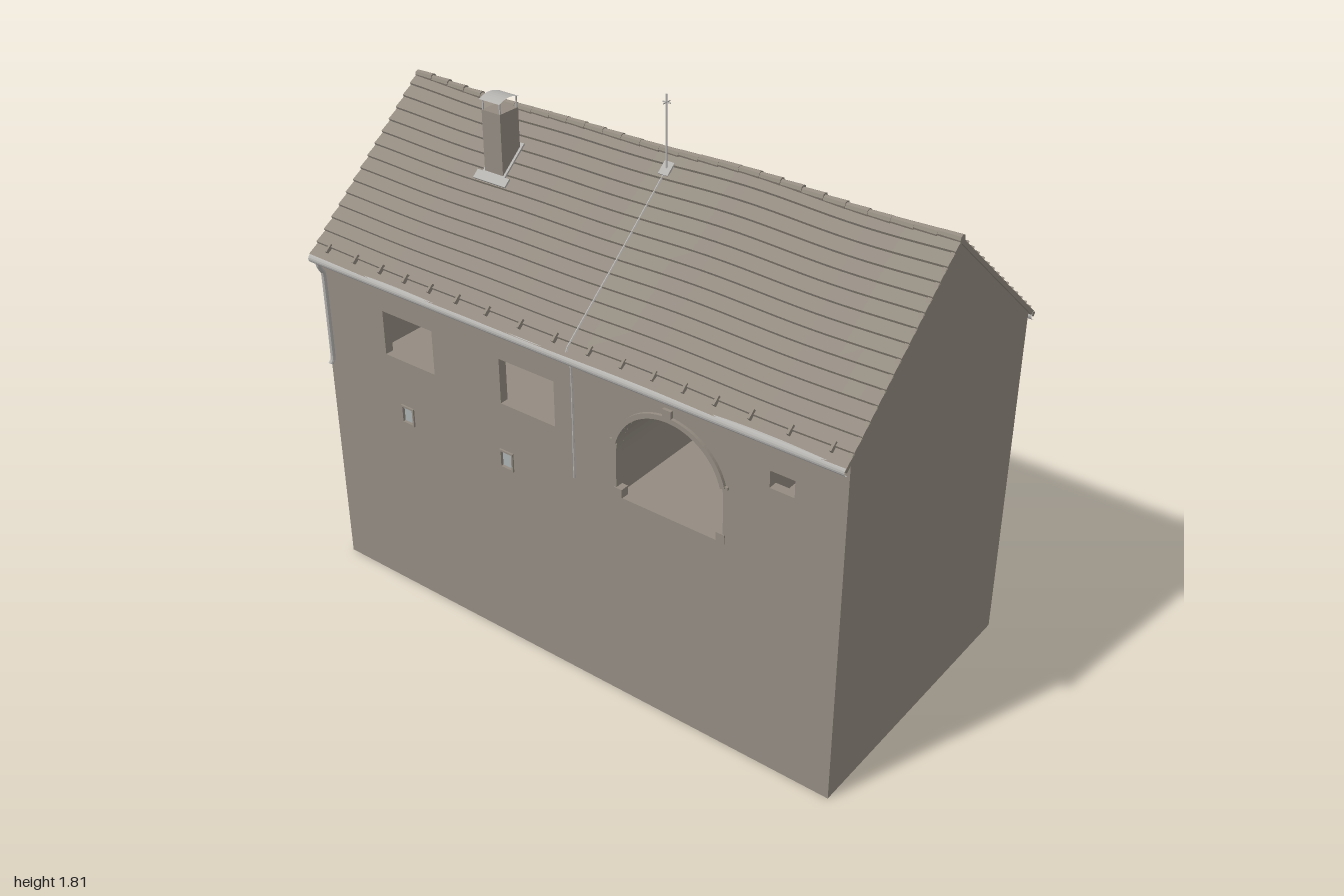
import * as THREE from 'three';

const mat = (name, color, side = THREE.FrontSide) => {
  const m = new THREE.MeshStandardMaterial({ color, side, flatShading: true });
  m.name = name;
  return m;
};

export function createModel() {
  const house = new THREE.Group();
  house.name = 'house';
  const plaster = mat('plaster', 0x948c82, THREE.DoubleSide);
  const tile = mat('roofTile', 0x938b80, THREE.DoubleSide);
  const metal = mat('paleMetal', 0xb4b3b0, THREE.DoubleSide);
  const glass = mat('glass', 0xaab2b2, THREE.DoubleSide);

  const add = (name, geo, material, x = 0, y = 0, z = 0, parent = house) => {
    const m = new THREE.Mesh(geo, material);
    m.name = name;
    m.position.set(x, y, z);
    parent.add(m);
    return m;
  };
  const box = (name, w, h, d, material, x, y, z, parent) =>
    add(name, new THREE.BoxGeometry(w, h, d), material, x, y, z, parent);
  const tube = (name, pts, r, material, sides = 6) =>
    add(name, new THREE.TubeGeometry(new THREE.CatmullRomCurve3(
      pts.map(p => new THREE.Vector3(...p)), false, 'catmullrom', 0.2), pts.length * 5, r, sides), material);
  const rect = (P, x0, x1, y0, y1) => {
    const p = new P();
    p.moveTo(x0, y0); p.lineTo(x1, y0); p.lineTo(x1, y1); p.lineTo(x0, y1); p.closePath();
    return p;
  };

  const W = 0.988, D = 0.495, SEAM = 0.74, WALL = 0.03;
  const RIDGE = 1.613, EAVE = 1.165, OVER = 0.527;
  const pitch = (RIDGE - EAVE) / OVER;
  const angle = Math.atan(pitch);
  const roofY = z => RIDGE - Math.abs(z) * pitch;
  const sag = x => 0.005 * Math.sin(x * 5 + 0.4) - 0.004 * Math.cos(x * 9);
  const AX = 0.405, AY = 0.88, AR = 0.19; // archway centre and radius

  // Open-bottomed base with small cellar windows on both long sides
  const cellar = [[-0.665, -0.617], [-0.24, -0.193]];
  for (const s of [1, -1]) {
    const shape = rect(THREE.Shape, -W, W, 0, SEAM);
    cellar.forEach(([a, b]) => shape.holes.push(rect(THREE.Path, a, b, 0.66, 0.72)));
    add('baseLongWall', new THREE.ShapeGeometry(shape), plaster, 0, 0, s * D);
    for (const [a, b] of cellar) {
      const c = (a + b) / 2;
      box('cellarGlass', b - a, 0.06, 0.004, glass, c, 0.69, s * (D - 0.006));
      for (const k of [-1, 1]) {
        box('cellarFrame', 0.006, 0.066, 0.012, plaster, c + k * 0.024, 0.69, s * D);
        box('cellarFrame', 0.048, 0.006, 0.012, plaster, c, 0.69 + k * 0.03, s * D);
      }
    }
    const end = add('baseEndWall', new THREE.PlaneGeometry(D * 2, SEAM), plaster, s * W, SEAM / 2, 0);
    end.rotation.y = s * Math.PI / 2;
  }
  const floor = add('floor', new THREE.PlaneGeometry(W * 2, D * 2), plaster, 0, SEAM, 0);
  floor.rotation.x = -Math.PI / 2;

  // Upper storey long walls, pierced by windows and the archway
  const openings = {
    1: [[-0.72, -0.507, 0.89, 1.045], [-0.23, -0.015, 0.89, 1.045], [0.745, 0.825, 0.99, 1.045]],
    '-1': [[-0.84, -0.66, 0.89, 1.04], [-0.48, -0.3, 0.89, 1.04], [-0.1, 0.05, 0.89, 1.04], [0.745, 0.89, 0.76, 1.04]],
  };
  for (const s of [1, -1]) {
    // The archway is notched into the bottom edge
    const shape = new THREE.Shape();
    shape.moveTo(-W, SEAM);
    shape.lineTo(AX - AR, SEAM);
    shape.lineTo(AX - AR, AY);
    shape.absarc(AX, AY, AR, Math.PI, 0, true);
    shape.lineTo(AX + AR, SEAM);
    shape.lineTo(W, SEAM);
    shape.lineTo(W, 1.18);
    shape.lineTo(-W, 1.18);
    shape.closePath();
    openings[s].forEach(o => shape.holes.push(rect(THREE.Path, ...o)));
    add(s > 0 ? 'frontWall' : 'backWall',
      new THREE.ExtrudeGeometry(shape, { depth: WALL, bevelEnabled: false, curveSegments: 20 }),
      plaster, 0, 0, s > 0 ? D - WALL : -D);

    // Arch moulding, keystone and guard stones
    const ring = new THREE.Shape();
    ring.absarc(AX, AY, AR + 0.016, 0.25, Math.PI - 0.25, false);
    ring.absarc(AX, AY, AR, Math.PI - 0.25, 0.25, true);
    add('archMoulding', new THREE.ExtrudeGeometry(ring, { depth: 0.012, bevelEnabled: false, curveSegments: 20 }),
      plaster, 0, 0, s > 0 ? D - 0.002 : -D - 0.01);
    box('keystone', 0.03, 0.035, 0.02, plaster, AX, 1.092, s * D);
    for (const k of [-1, 1]) {
      box('guardStone', 0.03, 0.03, 0.03, plaster, AX + k * (AR - 0.007), SEAM + 0.015, s * (D - 0.012));
      box('archImpost', 0.016, 0.01, 0.014, plaster, AX + k * 0.2, 0.932, s * D);
    }
  }

  // Vaulted passage linking both archways
  const vault = new THREE.CylinderGeometry(AR, AR, 2 * (D - WALL), 24, 1, true, Math.PI / 2, Math.PI);
  vault.rotateX(Math.PI / 2);
  add('passageVault', vault, plaster, AX, AY, 0);
  for (const k of [-1, 1]) {
    const side = add('passageWall', new THREE.PlaneGeometry(2 * (D - WALL), AY - SEAM), plaster, AX + k * AR, (AY + SEAM) / 2, 0);
    side.rotation.y = Math.PI / 2;
  }

  // Gable walls
  const gable = new THREE.Shape();
  [[-D, SEAM], [D, SEAM], [D, roofY(D) - 0.008], [0, RIDGE - 0.01], [-D, roofY(D) - 0.008]]
    .forEach(([z, y], i) => (i ? gable.lineTo(z, y) : gable.moveTo(z, y)));
  for (const s of [1, -1]) {
    const g = new THREE.ExtrudeGeometry(gable, { depth: WALL, bevelEnabled: false });
    g.rotateY(Math.PI / 2);
    add('gableWall', g, plaster, s > 0 ? W - WALL : -W, 0, 0);
  }

  // Roof slopes: stepped tile courses with a gentle sag
  const COURSES = 15, COLS = 36, RW = 0.995;
  for (const s of [1, -1]) {
    const g = new THREE.PlaneGeometry(2 * RW, 1, COLS, 2 * COURSES - 1);
    const p = g.attributes.position;
    for (let i = 0; i < p.count; i++) {
      const row = Math.floor(i / (COLS + 1));
      const t = Math.ceil(row / 2) / COURSES;
      const lip = row % 2 ? 0.008 : 0;
      const x = p.getX(i) * s;
      p.setXYZ(i, x, roofY(t * OVER) + lip + sag(x) * (1 - 0.6 * t), s * (t * OVER + lip * 0.5));
    }
    g.computeVertexNormals();
    add(s > 0 ? 'frontRoof' : 'backRoof', g, tile);

    // Verge boards along the gable edges
    for (const e of [-1, 1]) {
      const len = OVER / Math.cos(angle);
      const v = box('vergeBoard', 0.012, 0.014, len, tile, e * 0.988, (RIDGE + EAVE) / 2 - 0.006, s * OVER / 2);
      v.rotation.x = s * angle;
    }

    // Eaves: snow hooks, gutter and downpipe
    for (let i = 0; i < 17; i++) {
      const x = -0.95 + i * 0.118 + 0.02 * Math.sin(i * 7 + s);
      const hook = box('snowHook', 0.008, 0.014, 0.03, tile, x, roofY(0.5) + 0.012, s * 0.5);
      hook.rotation.x = s * angle;
    }
    const gutter = new THREE.CylinderGeometry(0.015, 0.015, 2 * RW, 8, 1, true, Math.PI / 2, Math.PI);
    gutter.rotateZ(Math.PI / 2);
    gutter.rotateX(Math.PI);
    // Keep the open side of the trough upward
    gutter.computeBoundingBox();
    if (gutter.boundingBox.max.y > 0.01 && gutter.boundingBox.min.y > -0.005) gutter.rotateX(Math.PI);
    add('gutter', gutter, metal, 0, 1.16, s * 0.522);
    tube('downpipe', [[-0.97, 1.15, s * 0.522], [-0.97, 1.125, s * 0.517], [-0.97, 1.1, s * 0.503],
      [-0.97, 0.8, s * 0.503], [-0.97, 0.775, s * 0.515]], 0.008, metal, 8);
  }

  // Ridge tiles
  const CAPS = 28, capLen = 2 * RW / CAPS;
  for (let i = 0; i < CAPS; i++) {
    const x = -RW + (i + 0.5) * capLen;
    const cap = add('ridgeTile', new THREE.CylinderGeometry(0.012, 0.014, capLen, 8), tile, x, RIDGE + sag(x), 0);
    cap.rotation.z = Math.PI / 2;
  }

  // Skylights on the back slope
  for (const x of [-0.385, 0.403]) {
    const sky = new THREE.Group();
    sky.name = 'skylight';
    sky.position.set(x, roofY(0.232) + 0.008, -0.232);
    sky.rotation.x = -angle;
    house.add(sky);
    box('skylightGlass', 0.066, 0.008, 0.08, glass, 0, 0.004, 0, sky);
    for (const k of [-1, 1]) {
      box('skylightFrame', 0.007, 0.016, 0.09, tile, k * 0.035, 0.004, 0, sky);
      box('skylightFrame', 0.07, 0.016, 0.007, tile, 0, 0.004, k * 0.042, sky);
    }
  }

  // Chimney with flashing and a raised cap
  const CX = -0.497, CZ = 0.15;
  box('chimneyStack', 0.074, 0.24, 0.082, plaster, CX, 1.545, CZ);
  const apron = box('chimneyFlashing', 0.09, 0.006, 0.14, metal, CX, roofY(CZ) + 0.012, CZ);
  apron.rotation.x = angle;
  const skirt = box('chimneyFlashing', 0.13, 0.006, 0.03, metal, CX, roofY(0.203) + 0.013, 0.203);
  skirt.rotation.x = angle;
  for (const i of [-1, 1]) for (const k of [-1, 1])
    box('capLeg', 0.004, 0.04, 0.004, metal, CX + i * 0.034, 1.682, CZ + k * 0.037);
  const capGeo = new THREE.PlaneGeometry(0.082, 0.092, 1, 8);
  capGeo.rotateX(-Math.PI / 2);
  const cp = capGeo.attributes.position;
  for (let i = 0; i < cp.count; i++) cp.setY(i, 0.011 * (1 - (cp.getZ(i) / 0.046) ** 2));
  capGeo.computeVertexNormals();
  add('chimneyCap', capGeo, metal, CX, 1.699, CZ);

  // Roof mast with crossbars, and its cable down the front
  const MX = 0.058, MZ = 0.05;
  add('mast', new THREE.CylinderGeometry(0.003, 0.003, 0.25, 6), metal, MX, 1.685, MZ);
  box('mastBar', 0.028, 0.003, 0.003, metal, MX, 1.785, MZ);
  box('mastBar', 0.003, 0.003, 0.032, metal, MX, 1.785, MZ);
  const foot = box('mastFlashing', 0.035, 0.006, 0.045, metal, MX, roofY(MZ) + 0.01, MZ);
  foot.rotation.x = angle;
  tube('cable', [[MX, roofY(MZ) + 0.008, MZ], [MX, roofY(0.3) + 0.008, 0.3], [MX, EAVE + 0.01, 0.53],
    [MX, 1.12, D + 0.004], [MX, SEAM, D + 0.004]], 0.003, metal, 5);

  return house;
}
